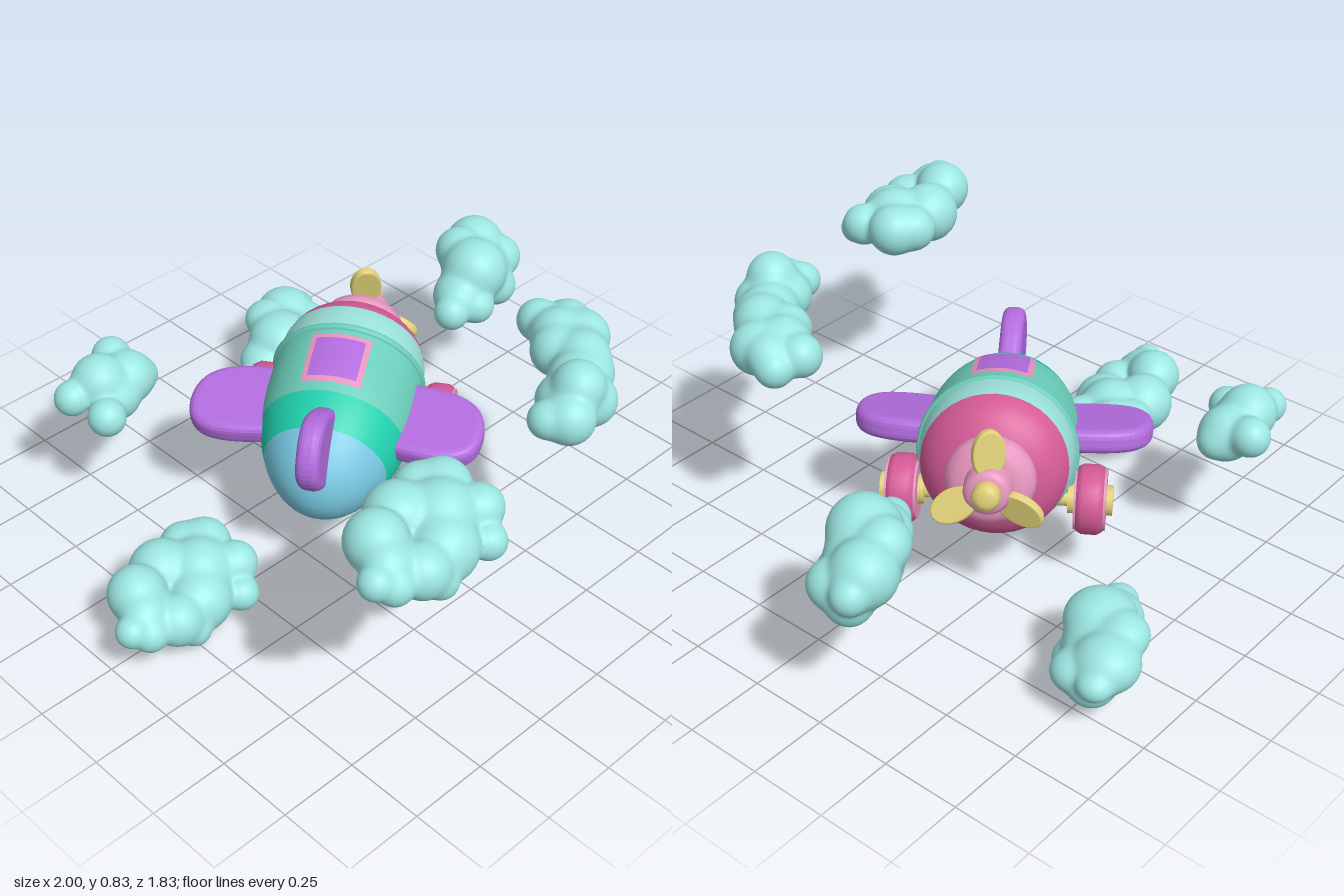
import * as THREE from 'three';
import { mergeGeometries } from 'three/addons/utils/BufferGeometryUtils.js';

const material = (name, color) => {
  const m = new THREE.MeshStandardMaterial({ color });
  m.name = name;
  return m;
};
const M = {
  cloud: material('cloud aqua', 0x9ce6e2),
  aqua: material('pale aqua', 0x9ae0d8),
  teal: material('soft teal', 0x6ccebb),
  green: material('bright green', 0x20d0ae),
  blue: material('sky blue', 0x78c8e2),
  pink: material('deep pink', 0xd45a96),
  rose: material('light rose', 0xe695be),
  purple: material('purple', 0xb26cde),
  yellow: material('sand yellow', 0xe0d078),
};
const rad = THREE.MathUtils.degToRad;

function add(parent, name, geometry, mat, x = 0, y = 0, z = 0) {
  const mesh = new THREE.Mesh(geometry, mat);
  mesh.name = name;
  mesh.position.set(x, y, z);
  parent.add(mesh);
  return mesh;
}

// Lathe around the x axis; points are [along, radius]
function turned(points, segments = 40, start = 0, sweep = Math.PI * 2) {
  const pts = points.map(([a, r]) => new THREE.Vector2(r, a));
  return new THREE.LatheGeometry(pts, segments, start, sweep).rotateZ(-Math.PI / 2);
}

// Fuselage radius: round tail, blunt nose
function bodyRadius(a) {
  const u = a < 0.05 ? ((0.05 - a) / 0.395) ** 2 : ((a - 0.05) / 0.345) ** 5;
  return 0.238 * Math.sqrt(Math.max(0, 1 - u));
}
function band(from, to, start, sweep, raise = 0) {
  const pts = [];
  for (let i = 0; i <= 12; i++) {
    // finer steps toward the rounded rear
    const a = from + (to - from) * (i / 12) ** (from < -0.3 ? 2 : 1);
    pts.push([a, bodyRadius(a) + raise]);
  }
  return turned(pts, 40, start, sweep);
}

// Rounded slab standing on y = 0, centred on z = 0
function slab(halfWidth, length, lean, thickness) {
  const w = halfWidth, s = new THREE.Shape();
  s.moveTo(w, 0);
  s.bezierCurveTo(w * 1.1 + lean * 0.5, length * 0.65, w * 1.15 + lean, length, lean, length);
  s.bezierCurveTo(-w * 1.15 + lean, length, -w * 1.1 + lean * 0.8, length * 0.65, -w, 0);
  const bevel = thickness * 0.35;
  return new THREE.ExtrudeGeometry(s, {
    depth: thickness - 2 * bevel, bevelThickness: bevel, bevelSize: bevel,
    bevelSegments: 4, curveSegments: 16,
  }).translate(0, 0, -thickness / 2 + bevel);
}

function createPlane() {
  const g = new THREE.Group();
  g.name = 'airplane';

  // Fuselage bands from tail to nose
  add(g, 'tailCone', band(-0.345, -0.185), M.blue);
  add(g, 'rearBand', band(-0.185, -0.07), M.green);
  add(g, 'sidePanel', band(-0.07, 0.18, rad(-5), rad(75)), M.pink);
  add(g, 'cabinBand', band(-0.07, 0.18, rad(70), rad(285)), M.teal);
  add(g, 'frontBand', band(0.18, 0.28), M.aqua);
  add(g, 'noseBand', band(0.28, 0.38), M.pink);
  const ring = new THREE.TorusGeometry(0.234, 0.013, 10, 48).rotateY(Math.PI / 2);
  add(g, 'bodyRing', ring, M.teal, 0.18);

  // Nose collar, spinner and knob
  add(g, 'noseCollar', turned([[0.35, 0.08], [0.355, 0.112], [0.37, 0.13], [0.395, 0.135],
    [0.42, 0.127], [0.437, 0.105], [0.445, 0.07], [0.445, 0]]), M.rose);
  add(g, 'spinner', turned([[0.44, 0.072], [0.49, 0.07], [0.505, 0.06], [0.512, 0.04], [0.512, 0]]), M.rose);
  add(g, 'noseKnob', turned([[0.505, 0.042], [0.535, 0.042], [0.55, 0.034], [0.556, 0.018], [0.556, 0]], 24), M.yellow);

  // Propeller blades
  const oval = new THREE.Shape().absellipse(0, 0.11, 0.044, 0.068, 0, Math.PI * 2);
  const bladeGeo = new THREE.ExtrudeGeometry(oval, {
    depth: 0.014, bevelThickness: 0.007, bevelSize: 0.006, bevelSegments: 3, curveSegments: 24,
  }).translate(0, 0, -0.007).rotateY(Math.PI / 2 + 0.4);
  for (let i = 0; i < 3; i++) {
    add(g, 'propellerBlade', bladeGeo, M.yellow, 0.475).rotation.x = i * Math.PI * 2 / 3;
  }

  // Wings and tail fin
  for (const side of [1, -1]) {
    const wing = slab(0.104, 0.285, -0.03, 0.075).rotateX(side * Math.PI / 2);
    add(g, side > 0 ? 'leftWing' : 'rightWing', wing, M.purple, 0.015, 0.027, side * 0.15);
  }
  add(g, 'tailFin', slab(0.092, 0.265, 0, 0.072), M.purple, -0.15, 0.068).rotation.z = rad(45);

  // Roof window following the curve of the body
  add(g, 'windowFrame', band(-0.043, 0.143, rad(247.5), rad(45), 0.007), M.rose);
  add(g, 'windowPane', band(-0.025, 0.125, rad(252), rad(36), 0.01), M.purple);

  // Wheels, each with a tyre, side discs, hub and axle
  const tyre = new THREE.LatheGeometry([[0.06, -0.045], [0.085, -0.045], [0.098, -0.039], [0.107, -0.023],
    [0.107, 0.023], [0.098, 0.039], [0.085, 0.045], [0.06, 0.045]]
    .map(([r, y]) => new THREE.Vector2(r, y)), 40).rotateX(Math.PI / 2);
  const disc = new THREE.CylinderGeometry(0.094, 0.094, 0.096, 40).rotateX(Math.PI / 2);
  const hub = new THREE.CylinderGeometry(0.046, 0.046, 0.135, 28).rotateX(Math.PI / 2);
  const axle = new THREE.CylinderGeometry(0.025, 0.025, 0.16, 20).rotateX(Math.PI / 2);
  for (const side of [1, -1]) {
    const wheel = new THREE.Group();
    wheel.name = side > 0 ? 'leftWheel' : 'rightWheel';
    wheel.position.set(0.177, -0.136, side * 0.285);
    add(wheel, 'tyre', tyre, M.pink);
    add(wheel, 'wheelDisc', disc, M.rose);
    add(wheel, 'hub', hub, M.yellow);
    add(wheel, 'axle', axle, M.yellow, 0, 0, side * -0.07);
    g.add(wheel);
  }

  // Turned away and climbing slightly
  g.rotation.order = 'YZX';
  g.rotation.set(0, rad(34), rad(13));
  g.position.set(-0.034, 0.367, -0.054);
  return g;
}

// Puffs are [x, y, z, radius] about the cloud centre
const wideCloud = [
  [-0.22, 0.02, 0.08, 0.05], [-0.15, 0.015, 0.05, 0.075], [-0.12, 0.035, -0.02, 0.09], [-0.07, -0.02, 0.1, 0.08],
  [-0.03, -0.065, 0.13, 0.05], [0.01, 0.01, -0.07, 0.1], [0.04, -0.03, 0.07, 0.1], [-0.06, -0.055, 0.02, 0.08],
  [0.1, 0.0, 0.0, 0.105], [0.13, 0.01, -0.11, 0.075], [0.18, 0.01, -0.07, 0.085], [0.2, 0.0, 0.05, 0.07],
  [0.16, -0.05, 0.12, 0.055], [-0.17, -0.01, 0.1, 0.055], [0.09, -0.05, 0.03, 0.085],
];
const slantCloud = [
  [-0.18, -0.04, 0.1, 0.06], [-0.1, -0.03, 0.06, 0.09], [-0.08, -0.05, 0.12, 0.06], [-0.02, 0.03, 0.05, 0.11],
  [0.04, -0.02, 0.0, 0.115], [0.01, 0.05, -0.05, 0.08], [0.11, 0.02, -0.07, 0.1], [0.16, -0.02, 0.0, 0.075],
  [0.19, 0.0, -0.09, 0.055], [0.08, -0.07, 0.06, 0.07], [0.15, -0.06, -0.05, 0.072], [0.0, -0.06, 0.03, 0.075],
];
const longCloud = [
  [-0.2, -0.02, 0.13, 0.058], [-0.15, -0.02, 0.17, 0.08], [-0.1, -0.02, 0.1, 0.08], [-0.08, 0.04, 0.14, 0.08],
  [0, -0.02, 0.07, 0.09], [-0.03, -0.03, 0.15, 0.08], [0.08, -0.01, 0.02, 0.09], [0.06, -0.01, -0.06, 0.08],
  [0.12, -0.01, -0.11, 0.085], [0.18, -0.02, -0.06, 0.085], [0.14, -0.01, -0.2, 0.068], [0.22, -0.03, -0.17, 0.06],
  [0.2, -0.01, -0.13, 0.07], [0.05, -0.02, 0.07, 0.08], [0.12, -0.02, -0.02, 0.08],
];
const smallCloud = [
  [-0.12, 0, -0.01, 0.058], [-0.08, -0.03, 0.11, 0.062], [-0.02, 0.02, 0, 0.09], [0.08, -0.01, 0.01, 0.088],
  [0.09, 0.02, -0.08, 0.064], [0.01, -0.03, 0.04, 0.08], [0.13, -0.02, 0.02, 0.052],
];
const clouds = [
  ['lowerLeftCloud', wideCloud, -0.73, 0.138, -0.03, 1],
  ['upperFrontCloud', wideCloud, -0.505, 0.695, 0.73, 1],
  ['rightCloud', slantCloud, 0.76, 0.47, -0.25, 1],
  ['lowerBackCloud', slantCloud, 0.33, 0.155, -0.75, 0.83],
  ['upperRightCloud', longCloud, 0.3, 0.72, 0.53, 1],
  ['smallBackCloud', smallCloud, -0.48, 0.43, -0.64, 1],
];

// Soft union of the puffs: writes the surface direction to grad, returns the distance
function softDistance(puffs, p, grad) {
  const k = 0.008, d = new THREE.Vector3();
  let sum = 0;
  grad.set(0, 0, 0);
  for (const [x, y, z, r] of puffs) {
    d.set(p.x - x, p.y - y, p.z - z);
    const len = d.length() || 1e-6;
    const weight = Math.exp((r - len) / k);
    sum += weight;
    grad.addScaledVector(d, weight / len);
  }
  grad.normalize();
  return 0.002 - k * Math.log(sum);
}

// Puff spheres whose creases are drawn out to one blended surface
function cloudGeometry(puffs) {
  const p = new THREE.Vector3(), n = new THREE.Vector3();
  return mergeGeometries(puffs.map(([x, y, z, r]) => {
    const geo = new THREE.SphereGeometry(r, 32, 24).translate(x, y, z);
    const pos = geo.attributes.position;
    for (let i = 0; i < pos.count; i++) {
      p.fromBufferAttribute(pos, i);
      let dist = softDistance(puffs, p, n);
      for (let step = 0; step < 5 && dist > -0.03; step++) {
        p.addScaledVector(n, -dist);
        dist = softDistance(puffs, p, n);
      }
      pos.setXYZ(i, p.x, p.y, p.z);
      geo.attributes.normal.setXYZ(i, n.x, n.y, n.z);
    }
    return geo;
  }));
}

export function createModel() {
  const model = new THREE.Group();
  model.name = 'airplaneAmongClouds';
  model.add(createPlane());

  // Clouds
  for (const [name, puffs, x, y, z, flatten] of clouds) {
    add(model, name, cloudGeometry(puffs), M.cloud, x, y, z).scale.y = flatten;
  }
  return model;
}
